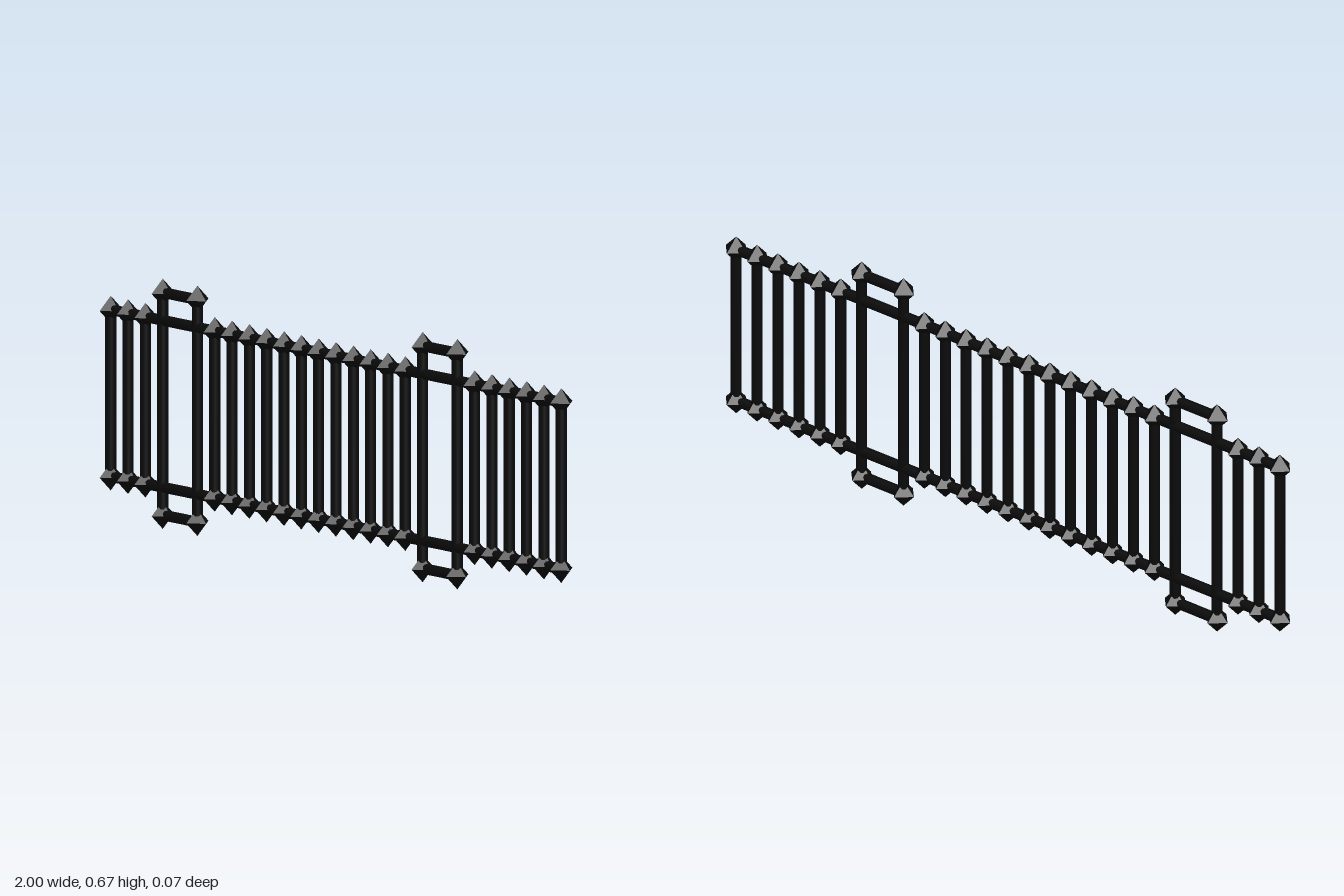
import * as THREE from 'three';

const STEP = 2 / 27;          // spacing between bars
const ROD = 0.0148;           // rod radius
const JOINT = STEP / 2;       // joint half-size
const LOW = 1.5 * STEP, HIGH = 7.5 * STEP;         // rail heights
const TALL_LOW = 0.5 * STEP, TALL_HIGH = 8.5 * STEP; // tall frame heights

export function createModel() {
  const model = new THREE.Group();
  const material = new THREE.MeshStandardMaterial({ color: 0x0a0a0a });
  const jointGeometry = new THREE.OctahedronGeometry(JOINT, 0);

  const barX = (i) => (i - 13) * STEP;

  function add(name, geometry, x, y) {
    const mesh = new THREE.Mesh(geometry, material);
    mesh.name = name;
    mesh.position.set(x, y, 0);
    model.add(mesh);
    return mesh;
  }

  const joint = (x, y) => add('joint', jointGeometry, x, y);

  function upright(name, x, y0, y1) {
    add(name, new THREE.CylinderGeometry(ROD, ROD, y1 - y0, 12), x, (y0 + y1) / 2);
    joint(x, y0);
    joint(x, y1);
  }

  function rail(name, x0, x1, y) {
    const geometry = new THREE.CylinderGeometry(ROD, ROD, x1 - x0, 12);
    add(name, geometry.rotateZ(Math.PI / 2), (x0 + x1) / 2, y);
  }

  // Long rails along the whole fence
  rail('lowerRail', barX(0), barX(26), LOW);
  rail('upperRail', barX(0), barX(26), HIGH);

  // Upright bars, leaving room for the two tall frames
  const frameStarts = [3, 18];
  for (let i = 0; i <= 26; i++) {
    if (frameStarts.some((s) => i >= s && i <= s + 2)) continue;
    upright('bar', barX(i), LOW, HIGH);
  }

  // Tall frames reaching above and below the rails
  for (const s of frameStarts) {
    for (const i of [s, s + 2]) upright('framePost', barX(i), TALL_LOW, TALL_HIGH);
    rail('frameFoot', barX(s), barX(s + 2), TALL_LOW);
    rail('frameTop', barX(s), barX(s + 2), TALL_HIGH);
  }

  return model;
}
